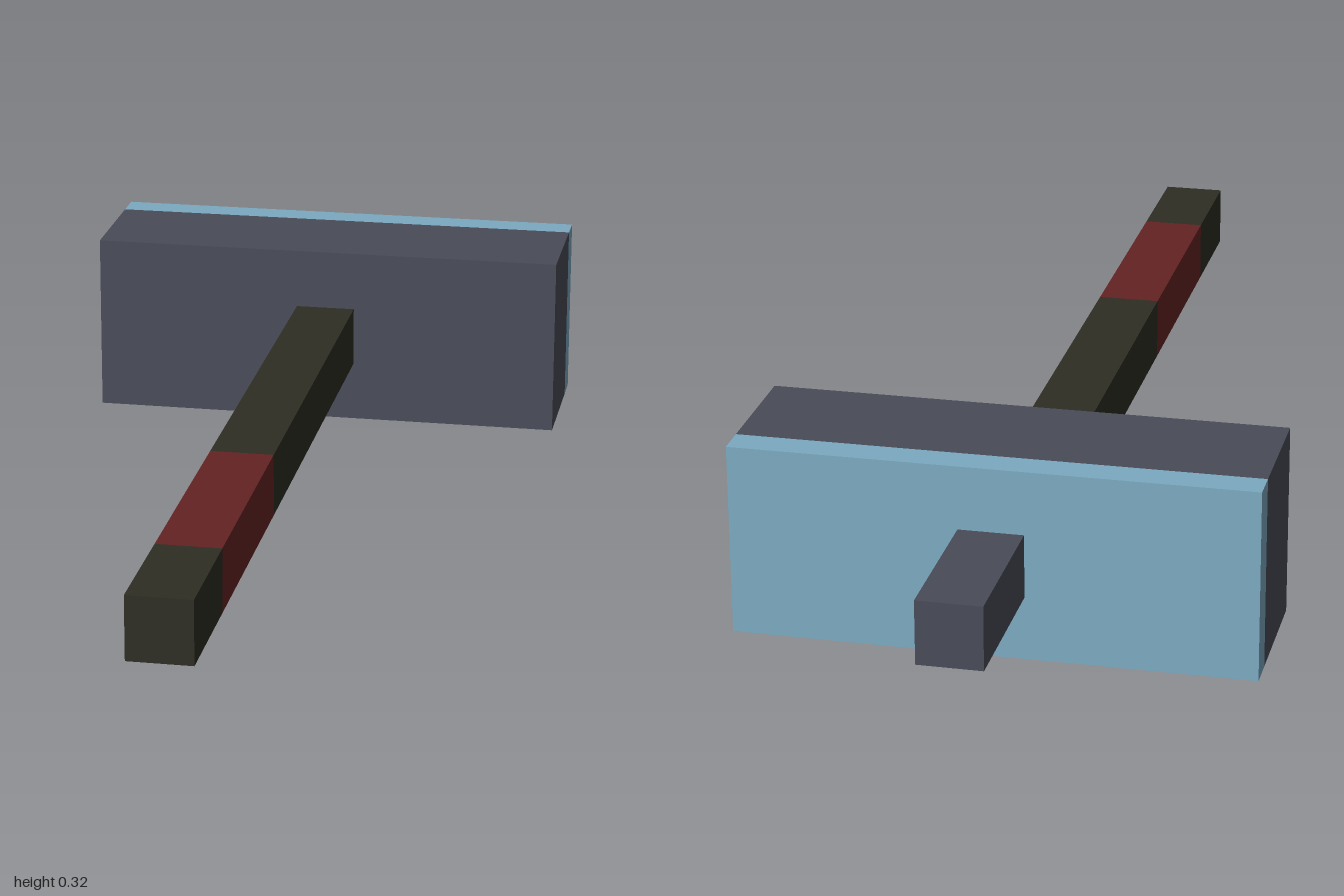
import * as THREE from 'three';

export function createModel() {
  const model = new THREE.Group();
  model.name = 'hammer';

  const material = (name, color) => {
    const m = new THREE.MeshStandardMaterial({ color });
    m.name = name;
    return m;
  };
  const steel = material('dark steel', 0x484b58);
  const ice = material('pale blue', 0x7ba9c0);
  const wood = material('dark wood', 0x2d2d23);
  const wrap = material('red wrap', 0x652323);

  const midY = 0.162;
  // Square bar running from z0 (back) to z1 (front)
  const bar = (name, mat, width, height, z0, z1) => {
    const mesh = new THREE.Mesh(new THREE.BoxGeometry(width, height, z1 - z0), mat);
    mesh.name = name;
    mesh.position.set(0, midY, (z0 + z1) / 2);
    model.add(mesh);
  };

  // Head: steel block with a blue plate on its back
  bar('headBlock', steel, 0.864, 0.324, -0.676, -0.462);
  bar('headBackPlate', ice, 0.864, 0.324, -0.73, -0.676);

  // Shaft: spike behind the head, handle and grip in front
  const t = 0.108;
  bar('backSpike', steel, t, t, -1, -0.73);
  bar('handle', wood, t, t, -0.462, 0.35);
  bar('grip', wrap, t, t, 0.35, 0.784);
  bar('pommel', wood, t, t, 0.784, 1);

  return model;
}
